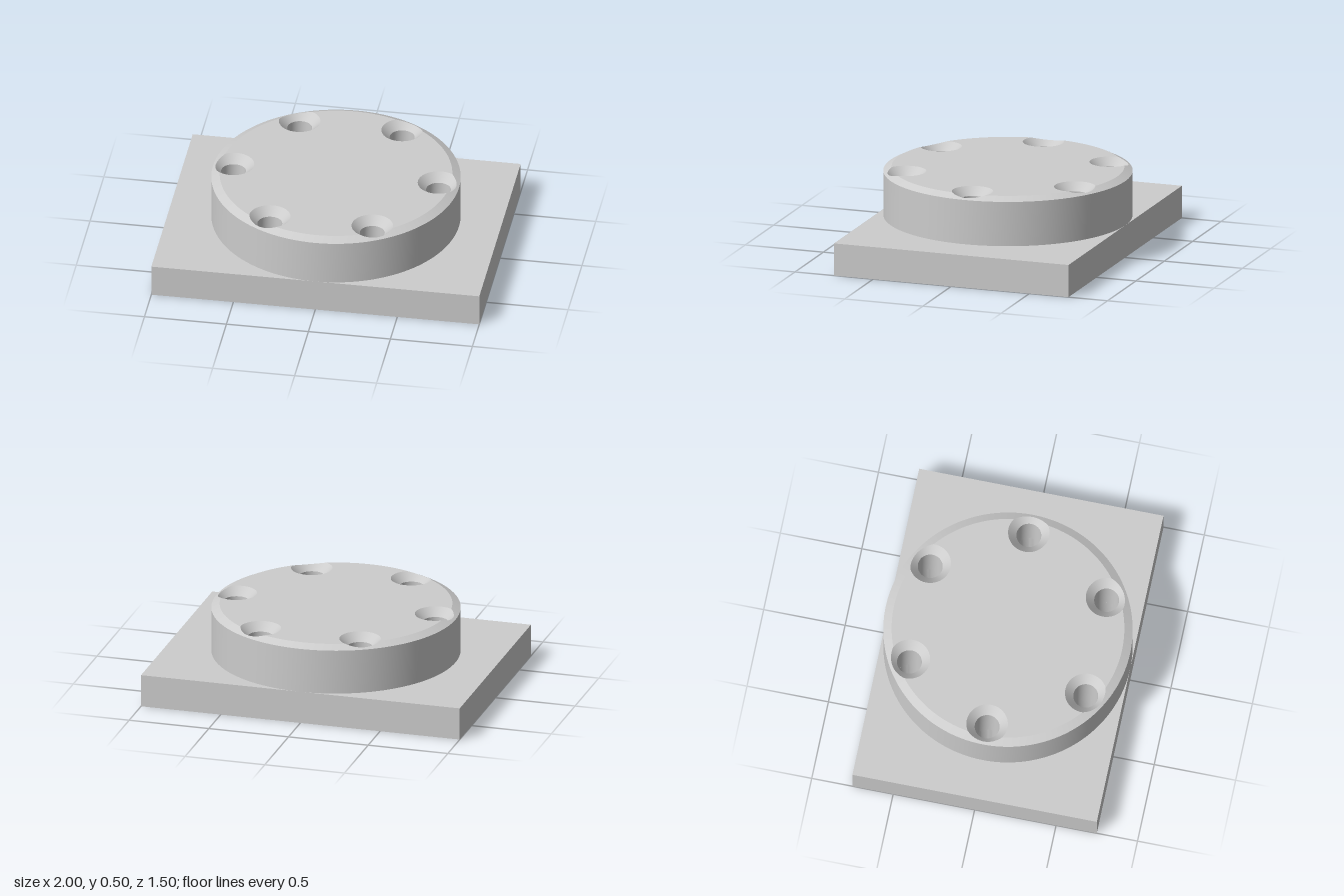
import * as THREE from 'three';
import { toCreasedNormals } from 'three/addons/utils/BufferGeometryUtils.js';

const PLATE_TOP = 0.2, TOP = 0.5;
const R = 0.75, R_TOP = 0.7, EDGE = 0.475;          // boss radius, chamfer start and height
const BOLT_R = 0.625, BORE = 0.075, SINK = 0.125;   // bolt circle, bore and countersink radii
const SINK_Y = TOP - (SINK - BORE);
const HOLES = 6;

// angles where a countersink meets the chamfer: about the boss axis and about the hole axis
const HALF = Math.acos((BOLT_R ** 2 + R_TOP ** 2 - SINK ** 2) / (2 * BOLT_R * R_TOP));
const PHI = Math.atan2(R_TOP * Math.sin(HALF), R_TOP * Math.cos(HALF) - BOLT_R);

const polar = (r, a, y) => new THREE.Vector3(r * Math.cos(a), y, r * Math.sin(a));
const range = (n, from, to) => Array.from({ length: n }, (_, i) => from + (to - from) * i / n);
const holeAngles = range(HOLES, 0, Math.PI * 2);
const atHeight = (loop, y) => loop.map(p => new THREE.Vector3(p.x, y, p.z));

// countersink rim point: where the 45 degree cone meets the top face or the chamfer
function rimPoint(phi, holeAngle) {
  let lo = BORE, hi = SINK;
  const place = d => polar(d, phi, SINK_Y + d - BORE).add(new THREE.Vector3(BOLT_R, 0, 0));
  for (let i = 0; i < 40; i++) {
    const d = (lo + hi) / 2, p = place(d);
    const surface = TOP - 0.5 * Math.max(0, Math.hypot(p.x, p.z) - R_TOP);
    if (p.y < surface) lo = d; else hi = d;
  }
  return place(hi).applyAxisAngle(new THREE.Vector3(0, 1, 0), -holeAngle);
}

// closed band between two loops; faces outward when the first loop is the lower one
function band(a, b) {
  const n = a.length, index = [];
  for (let i = 0; i < n; i++) {
    const j = (i + 1) % n;
    index.push(i, n + i, j, n + i, n + j, j);
  }
  const geometry = new THREE.BufferGeometry().setFromPoints([...a, ...b]);
  geometry.setIndex(index);
  geometry.computeVertexNormals();
  return geometry;
}

export function createModel() {
  const model = new THREE.Group();
  const metal = new THREE.MeshStandardMaterial({ color: 0xcccccc });
  metal.name = 'light grey metal';
  const add = (name, geometry, parent = model) => {
    const mesh = new THREE.Mesh(geometry, metal);
    mesh.name = name;
    parent.add(mesh);
    return mesh;
  };

  // base plate with through holes
  const outline = new THREE.Shape([[-1, -0.75], [1, -0.75], [1, 0.75], [-1, 0.75]]
    .map(([x, y]) => new THREE.Vector2(x, y)));
  for (const a of holeAngles) {
    outline.holes.push(new THREE.Path().absarc(
      BOLT_R * Math.cos(a), BOLT_R * Math.sin(a), BORE, 0, Math.PI * 2, true));
  }
  const plate = new THREE.ExtrudeGeometry(outline, { depth: PLATE_TOP, bevelEnabled: false, curveSegments: 24 });
  plate.rotateX(-Math.PI / 2);
  add('basePlate', toCreasedNormals(plate, 0.6));

  // boss wall
  const circle = range(128, 0, Math.PI * 2).map(a => polar(R, a, 0));
  add('bossWall', band(atHeight(circle, PLATE_TOP), atHeight(circle, EDGE)));

  // outlines of the top face and of the chamfer, both notched by the countersinks
  const topEdge = [], chamferEdge = [];
  for (const a of holeAngles) {
    const arc = range(20, a + HALF, a + Math.PI * 2 / HOLES - HALF).map(t => polar(R_TOP, t, TOP));
    topEdge.push(...range(32, -PHI, PHI - Math.PI * 2).map(p => rimPoint(p, a)), ...arc);
    chamferEdge.push(...range(16, -PHI, PHI).map(p => rimPoint(p, a)), ...arc);
  }
  const top = new THREE.ShapeGeometry(new THREE.Shape(topEdge.map(p => new THREE.Vector2(p.x, -p.z))));
  top.rotateX(-Math.PI / 2).translate(0, TOP, 0);
  add('bossTop', top);
  const chamferBase = chamferEdge.map(p => polar(R, Math.atan2(p.z, p.x), EDGE));
  add('bossChamfer', band(chamferBase, chamferEdge));

  // countersunk bolt holes
  const phis = [...range(16, -PHI, PHI), ...range(32, PHI, Math.PI * 2 - PHI)];
  for (const a of holeAngles) {
    const hole = new THREE.Group();
    hole.name = 'boltHole';
    model.add(hole);
    const centre = polar(BOLT_R, a, 0);
    const bore = phis.map(p => polar(BORE, p + a, SINK_Y).add(centre));
    add('countersink', band(phis.map(p => rimPoint(p, a)), bore), hole);
    add('boreWall', band(bore, atHeight(bore, PLATE_TOP)), hole);
  }
  return model;
}
